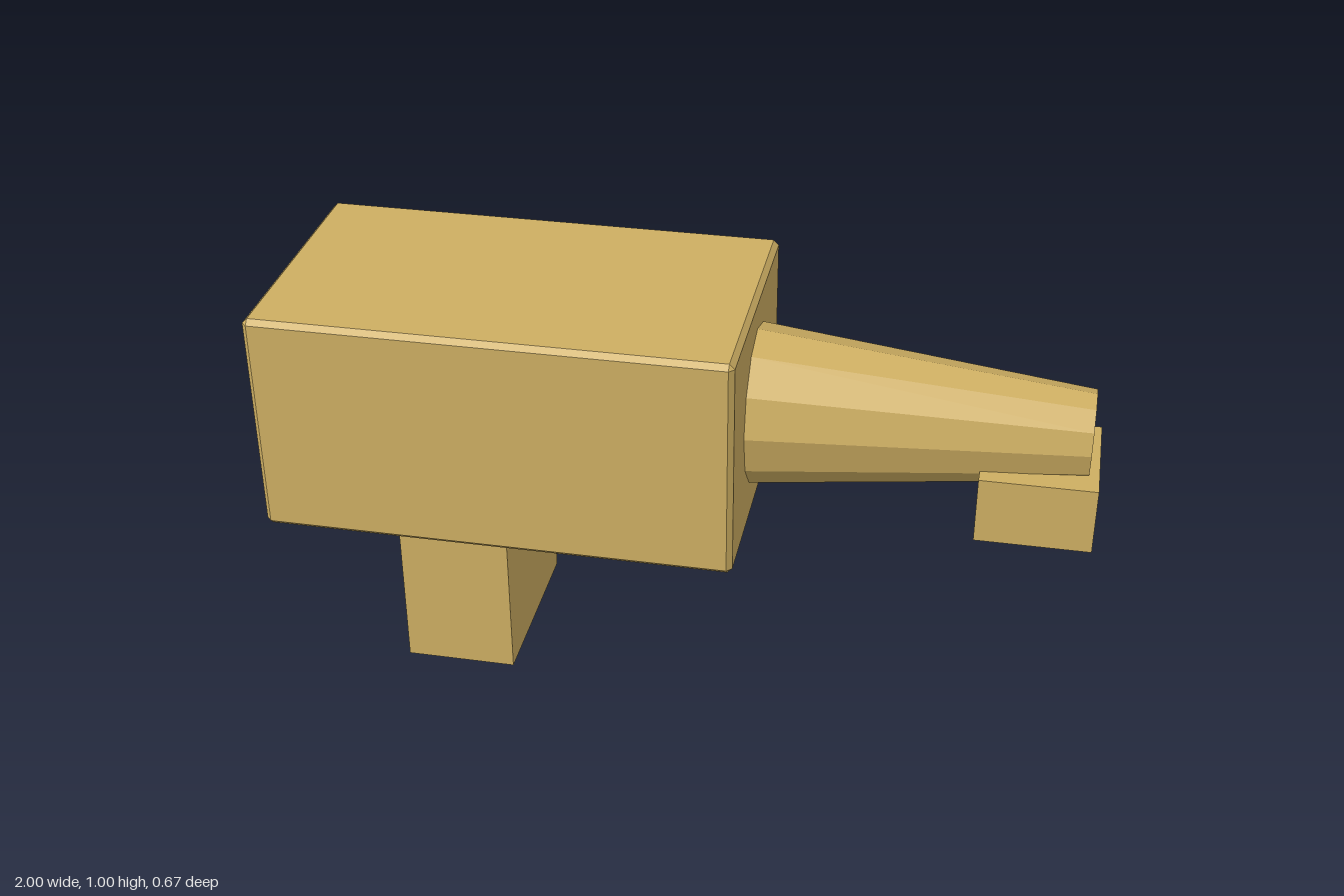
import * as THREE from 'three';
import { ConvexGeometry } from 'three/addons/geometries/ConvexGeometry.js';

// Box with chamfered edges: each corner becomes three points
function chamferedBox(w, h, d, c) {
  const points = [];
  for (const x of [-w / 2, w / 2]) for (const y of [-h / 2, h / 2]) for (const z of [-d / 2, d / 2]) {
    const ix = x - Math.sign(x) * c, iy = y - Math.sign(y) * c, iz = z - Math.sign(z) * c;
    points.push(new THREE.Vector3(x, iy, iz), new THREE.Vector3(ix, y, iz), new THREE.Vector3(ix, iy, z));
  }
  return new ConvexGeometry(points);
}

export function createModel() {
  const model = new THREE.Group();
  const tan = new THREE.MeshStandardMaterial({ color: 0xcdae62, flatShading: true });
  tan.name = 'tan';

  const add = (name, geometry, x, y, z = 0) => {
    const mesh = new THREE.Mesh(geometry, tan);
    mesh.name = name;
    mesh.position.set(x, y, z);
    model.add(mesh);
  };
  // Plain block given by its x and y extents and its depth
  const block = (name, x0, x1, y0, y1, depth) =>
    add(name, new THREE.BoxGeometry(x1 - x0, y1 - y0, depth), (x0 + x1) / 2, (y0 + y1) / 2);

  // Main housing
  add('body', chamferedBox(1.165, 0.57, 0.666, 0.013), -0.4175, 0.715);

  // Tapered twelve-sided barrel, slightly taller than wide
  const barrel = new THREE.CylinderGeometry(0.1, 0.18, 0.81, 12);
  barrel.rotateZ(-Math.PI / 2);
  barrel.scale(1, 1.13, 1);
  add('barrel', barrel, 0.57, 0.717);

  // Blocks under the body and the barrel tip
  block('grip', -0.695, -0.418, 0, 0.44, 0.464);
  block('lowerBlock', -0.335, -0.058, 0.34, 0.44, 0.3);
  block('muzzleBlock', 0.72, 1, 0.483, 0.653, 0.3);

  return model;
}
